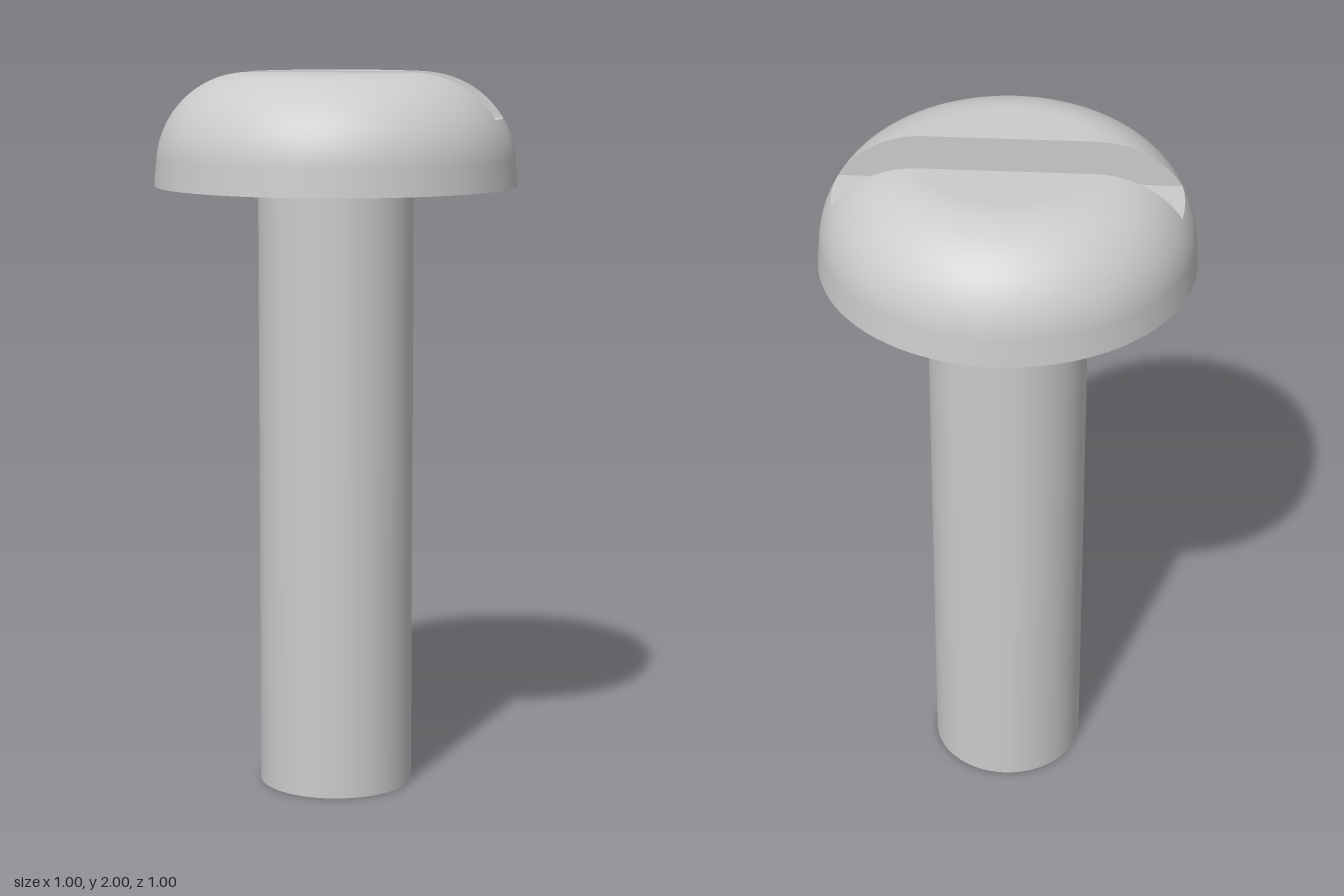
import * as THREE from 'three';
import { ParametricGeometry } from 'three/addons/geometries/ParametricGeometry.js';

const SEG = 96;
const SHAFT_R = 0.215, HEAD_R = 0.5, HEAD_Y = 1.69, TOP_Y = 2;
const ROUND = 0.257, FLAT_R = 0.2375;        // shoulder rounding, flat on top
const SLOT_Y = 1.875, SLOT_W = 0.08;         // slot floor height, half width

// Shoulder arc: radius and height at an angle above horizontal
const radiusAt = (phi) => FLAT_R + ROUND * Math.cos(phi);
const heightAt = (phi) => TOP_Y - ROUND + ROUND * Math.sin(phi);
const PHI_SKIRT = THREE.MathUtils.degToRad(5);
const PHI_SLOT = Math.asin((SLOT_Y - TOP_Y + ROUND) / ROUND);
const PHI_TOP = Math.PI / 2;

const material = new THREE.MeshStandardMaterial({ color: 0xcccccc });

function add(parent, name, geometry) {
  const mesh = new THREE.Mesh(geometry, material);
  mesh.name = name;
  parent.add(mesh);
  return mesh;
}

// Piece of the rounded shoulder; limit(r) is the half angle swept around y
function shoulder(phi0, phi1, limit, slices, stacks) {
  return new ParametricGeometry((u, v, target) => {
    const phi = THREE.MathUtils.lerp(phi0, phi1, v);
    const r = radiusAt(phi);
    const theta = (2 * u - 1) * limit(r);
    target.set(r * Math.sin(theta), heightAt(phi), r * Math.cos(theta));
  }, slices, stacks);
}

// Half of the head beside the slot, on the +z side
function createCheek() {
  const cheek = new THREE.Group();
  cheek.name = 'headCheek';
  add(cheek, 'cheekDome', shoulder(PHI_SLOT, PHI_TOP, (r) => Math.acos(SLOT_W / r), SEG / 2, 16));

  // Flat top segment
  const a = Math.asin(SLOT_W / FLAT_R);
  const top = new THREE.Shape();
  top.absarc(0, 0, FLAT_R, a, Math.PI - a, false);
  add(cheek, 'cheekTop', new THREE.ShapeGeometry(top, SEG / 2)
    .rotateX(-Math.PI / 2).rotateY(Math.PI).translate(0, TOP_Y, 0));

  // Slot wall following the dome outline
  const right = [];
  for (let i = 0; i <= 16; i++) {
    const phi = THREE.MathUtils.lerp(PHI_SLOT, PHI_TOP, i / 16);
    right.push(new THREE.Vector2(Math.sqrt(radiusAt(phi) ** 2 - SLOT_W ** 2), heightAt(phi)));
  }
  const left = right.map((p) => new THREE.Vector2(-p.x, p.y)).reverse();
  add(cheek, 'slotWall', new THREE.ShapeGeometry(new THREE.Shape([...right, ...left]))
    .rotateY(Math.PI).translate(0, 0, SLOT_W));
  return cheek;
}

function createHead() {
  const head = new THREE.Group();
  head.name = 'head';

  // Underside, drafted skirt and start of the rounding
  add(head, 'headUnderside', new THREE.RingGeometry(SHAFT_R, HEAD_R, SEG)
    .rotateX(Math.PI / 2).translate(0, HEAD_Y, 0));
  const skirtTop = heightAt(PHI_SKIRT);
  add(head, 'headSkirt', new THREE.CylinderGeometry(
    radiusAt(PHI_SKIRT), HEAD_R, skirtTop - HEAD_Y, SEG, 1, true)
    .translate(0, (skirtTop + HEAD_Y) / 2, 0));
  add(head, 'headShoulder', shoulder(PHI_SKIRT, PHI_SLOT, () => Math.PI, SEG, 8));

  // Slot floor with rounded ends
  const r = radiusAt(PHI_SLOT), a = Math.asin(SLOT_W / r);
  const floor = new THREE.Shape();
  floor.absarc(0, 0, r, -a, a, false);
  floor.absarc(0, 0, r, Math.PI - a, Math.PI + a, false);
  add(head, 'slotFloor', new THREE.ShapeGeometry(floor, 12)
    .rotateX(-Math.PI / 2).translate(0, SLOT_Y, 0));

  // Mirrored cheeks either side of the slot
  for (const turn of [0, Math.PI]) {
    const cheek = createCheek();
    cheek.rotation.y = turn;
    head.add(cheek);
  }
  return head;
}

export function createModel() {
  const model = new THREE.Group();
  model.name = 'slottedScrew';

  // Plain shaft with a flat end
  const shaft = new THREE.Group();
  shaft.name = 'shaft';
  add(shaft, 'shaftSide', new THREE.CylinderGeometry(SHAFT_R, SHAFT_R, HEAD_Y, SEG, 1, true)
    .translate(0, HEAD_Y / 2, 0));
  add(shaft, 'shaftEnd', new THREE.CircleGeometry(SHAFT_R, SEG).rotateX(Math.PI / 2));

  model.add(shaft, createHead());
  return model;
}
